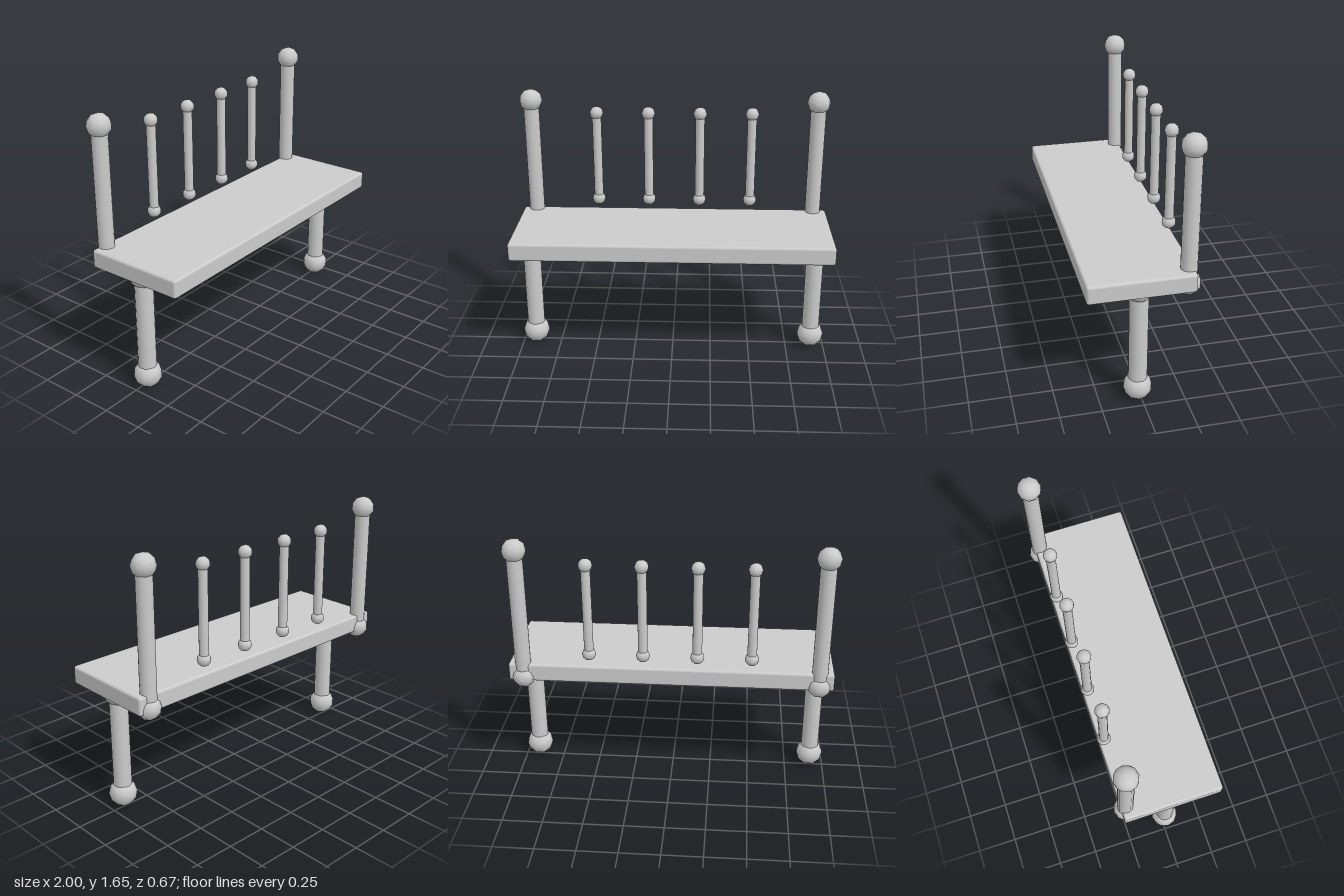
import * as THREE from 'three';
import { RoundedBoxGeometry } from 'three/addons/geometries/RoundedBoxGeometry.js';

const material = new THREE.MeshStandardMaterial({ color: 0xcccccc });

// A turned rod with a coarse ball at each end; y0 and y1 are the ball centres.
function knobbedRod(name, x, z, y0, y1, rodRadius, ballRadius) {
  const group = new THREE.Group();
  group.name = name;
  group.position.set(x, 0, z);

  const rod = new THREE.Mesh(new THREE.CylinderGeometry(rodRadius, rodRadius, y1 - y0, 16), material);
  rod.name = name + 'Rod';
  rod.position.y = (y0 + y1) / 2;
  group.add(rod);

  for (const [end, y] of [['Lower', y0], ['Upper', y1]]) {
    const ball = new THREE.Mesh(new THREE.IcosahedronGeometry(ballRadius, 1), material);
    ball.name = name + end + 'Ball';
    ball.position.y = y;
    group.add(ball);
  }
  return group;
}

export function createModel() {
  const model = new THREE.Group();
  model.name = 'bench';

  // Seat board with softened edges
  const seat = new THREE.Mesh(new RoundedBoxGeometry(2, 0.115, 0.63, 2, 0.016), material);
  seat.name = 'seat';
  seat.position.set(0, 0.788, 0.021);
  model.add(seat);

  // One leg and one tall back post at each end
  for (const [side, s] of [['left', 1], ['right', -1]]) {
    model.add(knobbedRod(side + 'Leg', s * 0.912, 0.021, 0.086, 0.755, 0.056, 0.086));
    model.add(knobbedRod(side + 'BackPost', s * 0.912, -0.263, 0.753, 1.582, 0.049, 0.073));
  }

  // Four free-standing spindles along the back
  for (let i = 0; i < 4; i++) {
    model.add(knobbedRod('backSpindle' + (i + 1), (i - 1.5) * 0.331, -0.264, 0.922, 1.502, 0.029, 0.043));
  }
  return model;
}
